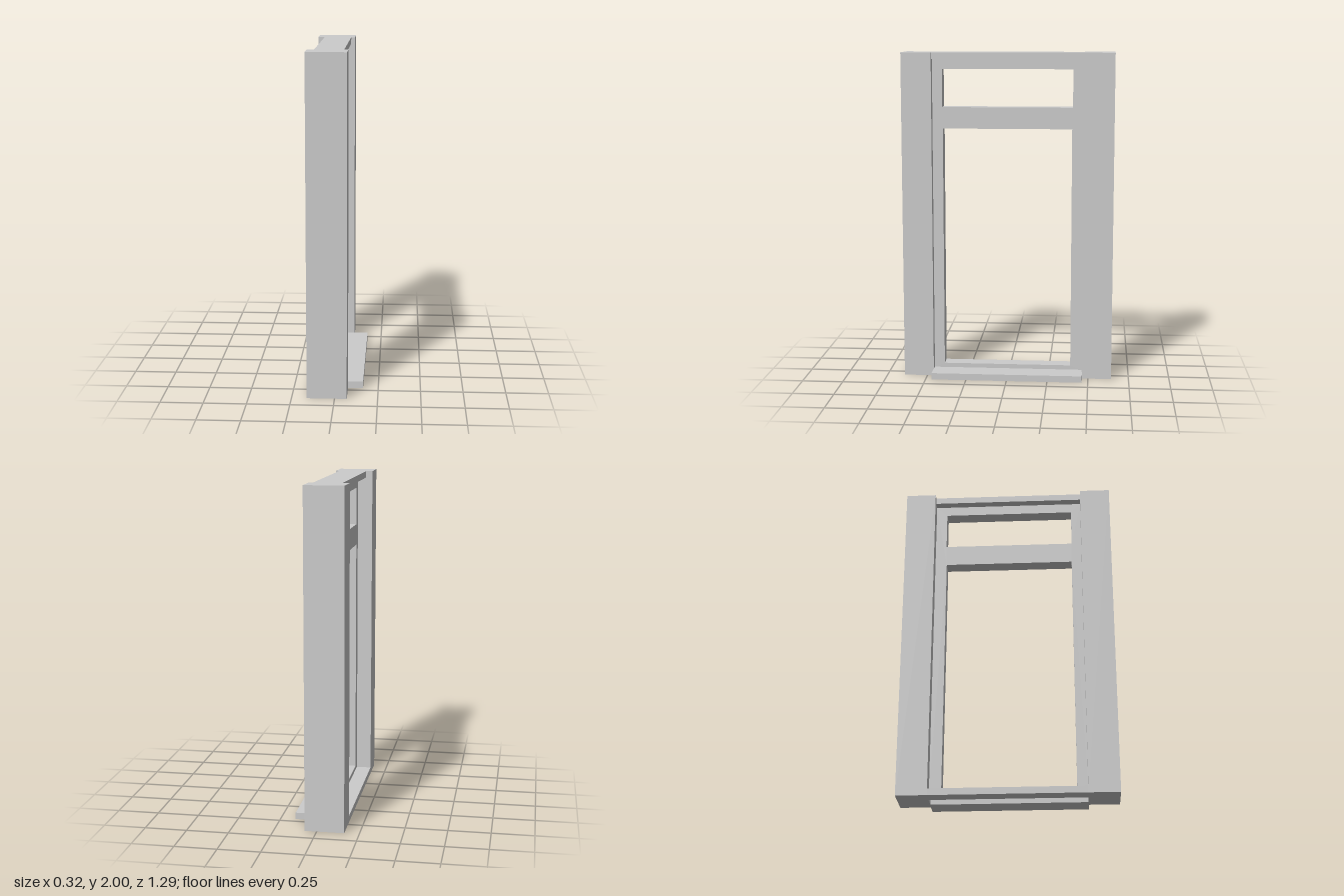
import * as THREE from 'three';

const material = new THREE.MeshStandardMaterial({ color: 0xcccccc, flatShading: true });

// Box given by its extents along each axis
function block(name, [x0, x1], [y0, y1], [z0, z1]) {
  const mesh = new THREE.Mesh(new THREE.BoxGeometry(x1 - x0, y1 - y0, z1 - z0), material);
  mesh.position.set((x0 + x1) / 2, (y0 + y1) / 2, (z0 + z1) / 2);
  mesh.name = name;
  return mesh;
}

// Counter-clockwise rectangle path
function rectangle(path, u0, u1, y0, y1) {
  path.moveTo(u0, y0);
  path.lineTo(u1, y0);
  path.lineTo(u1, y1);
  path.lineTo(u0, y1);
  path.closePath();
  return path;
}

export function createModel() {
  const group = new THREE.Group();
  group.name = 'windowFrame';
  const span = 0.46; // half width of the wall opening
  const back = -0.07, front = 0.02; // sash faces

  // Thick wall piers on both sides
  group.add(block('rearPier', [-0.162, 0.071], [0, 2], [-0.643, -span]));
  group.add(block('frontPier', [-0.162, 0.071], [0, 2], [span, 0.643]));

  // Head across the top, set back from the pier faces
  group.add(block('head', [-0.122, 0.047], [1.96, 2], [-span, span]));

  // Inner sill flush with the piers, outer sill projecting beyond them
  group.add(block('innerSill', [-0.162, back], [0, 0.04], [-span, span]));
  group.add(block('outerSill', [front, 0.16], [0, 0.04], [-0.463, 0.463]));

  // Sash with a tall lower opening, a transom and a small upper opening
  const outline = rectangle(new THREE.Shape(), -span, span, 0.04, 1.96);
  outline.holes.push(rectangle(new THREE.Path(), -0.397, 0.389, 0.067, 1.54));
  outline.holes.push(rectangle(new THREE.Path(), -0.4, 0.393, 1.67, 1.9));
  const sashGeometry = new THREE.ExtrudeGeometry(outline, { depth: front - back, bevelEnabled: false });
  sashGeometry.rotateY(Math.PI / 2);
  const sash = new THREE.Mesh(sashGeometry, material);
  sash.position.x = back;
  sash.name = 'sash';
  group.add(sash);

  return group;
}
